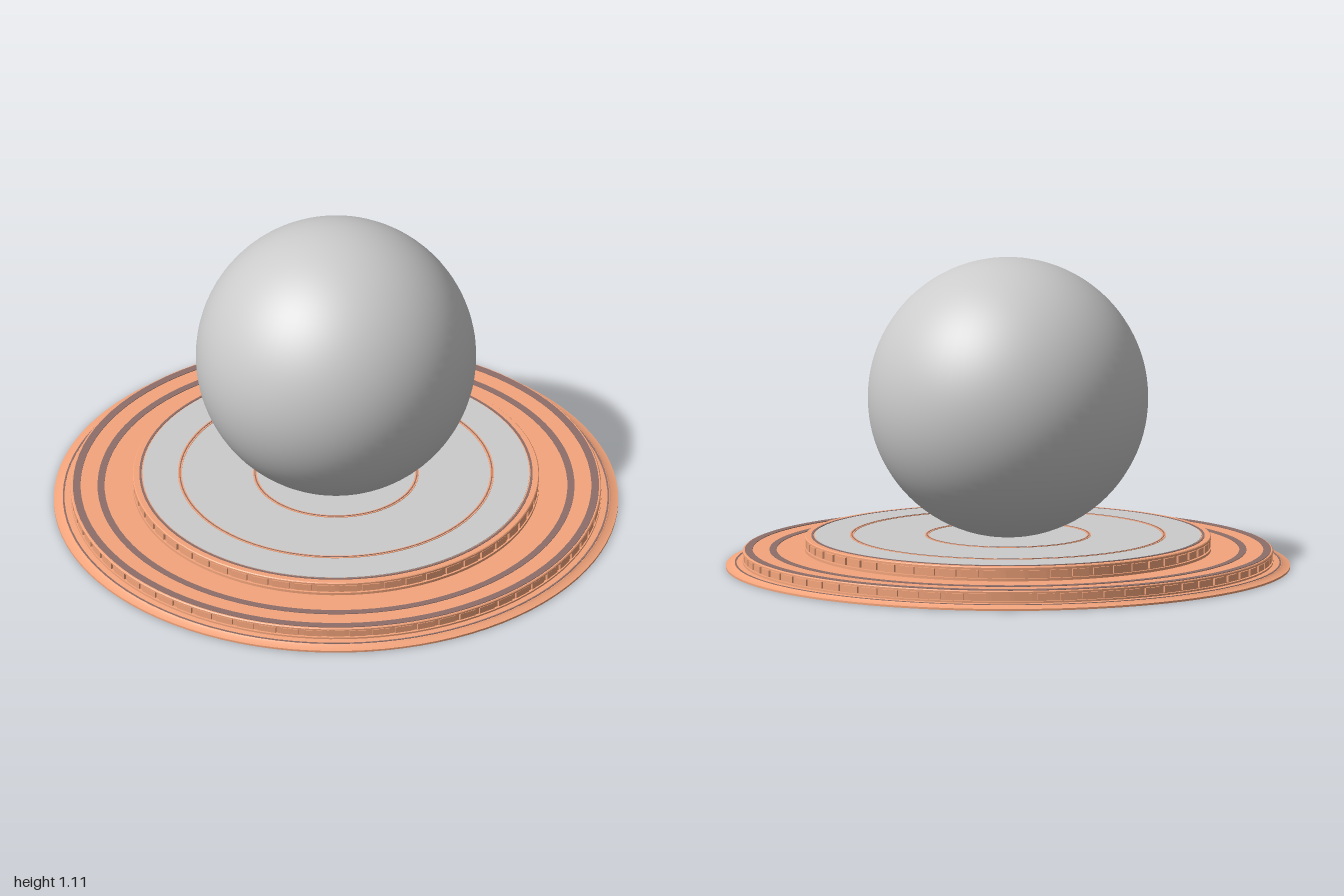
import * as THREE from 'three';
import { mergeGeometries, toCreasedNormals } from 'three/addons/utils/BufferGeometryUtils.js';

const grey = new THREE.MeshStandardMaterial({ color: 0xcccccc });
const copper = new THREE.MeshStandardMaterial({ color: 0xf4a57c });
const brown = new THREE.MeshStandardMaterial({ color: 0x8d6e6a });

// Round part from a [radius, height] outline running from the bottom up
function turned(name, outline, material) {
  const points = outline.map(([r, y]) => new THREE.Vector2(r, y));
  const mesh = new THREE.Mesh(toCreasedNormals(new THREE.LatheGeometry(points, 96), 0.5), material);
  mesh.name = name;
  return mesh;
}

// Flat ring raised slightly from the surface at height y
function band(name, inner, outer, y, material, raise = 0.002) {
  return turned(name, [[outer, y - 0.002], [outer, y + raise], [inner, y + raise], [inner, y - 0.002]], material);
}

// Stepped tier with a recessed channel around its rim
function tier(name, radius, bottom, top) {
  const lip = (top - bottom) * 0.18, r = radius - 0.01;
  return turned(name, [
    [0, bottom], [radius, bottom], [radius, bottom + lip], [r, bottom + lip],
    [r, top - lip], [radius, top - lip], [radius, top - 0.003], [radius - 0.003, top], [0, top],
  ], copper);
}

// Rectangular blocks set around the channel of a tier
function rimBlocks(name, radius, bottom, top, count) {
  const parts = [];
  const pitch = (2 * Math.PI * radius) / count;
  for (let i = 0; i < count; i++) {
    const block = new THREE.BoxGeometry(pitch * 0.76, (top - bottom) * 0.5, 0.012);
    block.translate(0, (bottom + top) / 2, radius - 0.009);
    block.rotateY((i / count) * Math.PI * 2);
    parts.push(block);
  }
  const mesh = new THREE.Mesh(mergeGeometries(parts), copper);
  mesh.name = name;
  return mesh;
}

export function createModel() {
  const model = new THREE.Group();
  model.name = 'sphereOnPedestal';

  // Base plate with a thin stepped edge
  model.add(turned('basePlate', [
    [0, 0], [1, 0], [1, 0.007], [0.975, 0.012], [0.97, 0.016], [0.955, 0.018], [0, 0.018],
  ], copper));
  model.add(band('basePlateBand', 0.962, 0.968, 0.016, brown));

  // Two tiers with blocks around their rims
  const tiers = [
    ['lowerTier', 0.94, 0.016, 0.062, 72],
    ['upperTier', 0.72, 0.062, 0.113, 56],
  ];
  for (const [name, radius, bottom, top, count] of tiers) {
    model.add(tier(name, radius, bottom, top));
    model.add(rimBlocks(name + 'Blocks', radius, bottom, top, count));
  }

  // Inlaid rings on the lower tier
  model.add(band('innerBrownRing', 0.82, 0.845, 0.062, brown));
  model.add(band('outerBrownRing', 0.905, 0.932, 0.062, brown));

  // Grey top with thin concentric rings
  model.add(band('topRimRing', 0.689, 0.697, 0.113, brown));
  model.add(turned('topDisc', [[0.685, 0.111], [0.685, 0.115], [0, 0.115]], grey));
  for (const r of [0.287, 0.553]) {
    model.add(band('topRing', r - 0.007, r + 0.007, 0.115, copper));
    model.add(band('topRingLine', r - 0.002, r + 0.002, 0.117, brown, 0.001));
  }

  // Sphere resting on the top
  const sphere = new THREE.Mesh(new THREE.SphereGeometry(0.497, 64, 48), grey);
  sphere.name = 'sphere';
  sphere.position.y = 0.609;
  model.add(sphere);

  return model;
}
